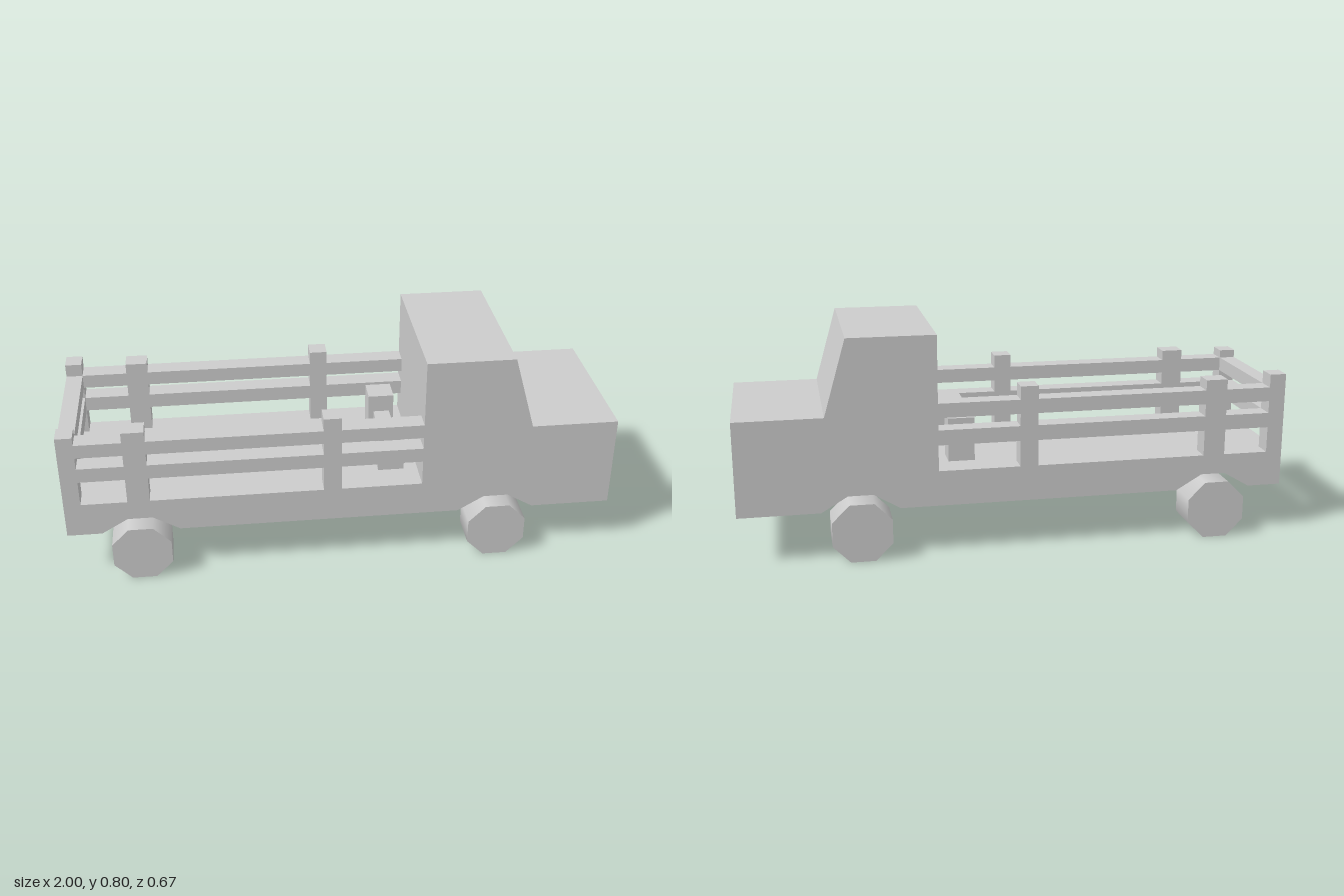
import * as THREE from 'three';

const material = new THREE.MeshStandardMaterial({ color: 0xcccccc });

export function createModel() {
  const truck = new THREE.Group();
  truck.name = 'truck';

  const add = (name, geometry, x = 0, y = 0, z = 0) => {
    const mesh = new THREE.Mesh(geometry, material);
    mesh.name = name;
    mesh.position.set(x, y, z);
    truck.add(mesh);
    return mesh;
  };
  // Box given by its lower and upper limits on each axis
  const block = (name, x0, x1, y0, y1, z0, z1) =>
    add(name, new THREE.BoxGeometry(x1 - x0, y1 - y0, z1 - z0),
      (x0 + x1) / 2, (y0 + y1) / 2, (z0 + z1) / 2);

  const half = 0.29, inner = 0.22, bedTop = 0.305, under = 0.176;
  const axles = [-0.735, 0.568];

  // Chassis, cab and bonnet in one side profile with angular wheel arches
  const profile = new THREE.Shape();
  profile.moveTo(-1, under);
  for (const x of axles) {
    profile.lineTo(x - 0.14, under);
    profile.lineTo(x - 0.045, 0.232);
    profile.lineTo(x + 0.045, 0.232);
    profile.lineTo(x + 0.14, under);
  }
  for (const [x, y] of [[1, under], [1, 0.521], [0.685, 0.521], [0.605, 0.797],
    [0.29, 0.797], [0.29, bedTop], [-1, bedTop]]) profile.lineTo(x, y);
  profile.closePath();
  const bodyGeometry = new THREE.ExtrudeGeometry(profile, { depth: half * 2, bevelEnabled: false });
  add('body', bodyGeometry, 0, 0, -half);

  // Stake posts and side rails
  for (const side of [-1, 1]) {
    const z0 = side < 0 ? -half : inner;
    const z1 = side < 0 ? -inner : half;
    block('cornerPost', -1, -0.94, bedTop, side < 0 ? 0.6 : 0.582, z0, z1);
    block('rearStake', -0.775, -0.695, bedTop, 0.59, z0, z1);
    block('frontStake', -0.07, -0.005, bedTop, 0.6, z0, z1);
    block('lowerSideRail', -0.94, 0.29, 0.4, 0.455, z0, z1);
    block('upperSideRail', -0.94, 0.29, 0.5, 0.552, z0, z1);
  }
  // Tail rails
  block('lowerTailRail', -1, -0.94, 0.4, 0.455, -inner, inner);
  block('upperTailRail', -1, -0.94, 0.5, 0.552, -inner, inner);

  // Load behind the cab: two blocks joined by a grip
  for (const side of [-1, 1]) {
    const z = side * 0.135;
    block('loadBlock', 0.143, 0.239, bedTop, 0.466, z - 0.047, z + 0.047);
  }
  block('loadGrip', 0.157, 0.217, 0.35, 0.42, -0.054, 0.054);
  block('loadBar', 0.178, 0.197, 0.376, 0.395, -0.09, 0.09);

  // Axles, slanted mounting struts and eight-sided wheels
  const wheelGeometry = new THREE.CylinderGeometry(0.115, 0.115, 0.133, 8)
    .rotateY(Math.PI / 8).rotateX(Math.PI / 2);
  const axleGeometry = new THREE.CylinderGeometry(0.025, 0.025, 0.42, 16).rotateX(Math.PI / 2);
  const strutGeometry = new THREE.BoxGeometry(0.14, 0.028, 0.14);
  for (const x of axles) {
    add('axle', axleGeometry, x, 0.107, 0);
    for (const side of [-1, 1]) {
      add('wheel', wheelGeometry, x, 0.1065, side * 0.2665);
      add('axleStrut', strutGeometry, x + side * 0.065, 0.165, 0).rotation.z = side * 0.65;
    }
  }
  return truck;
}
